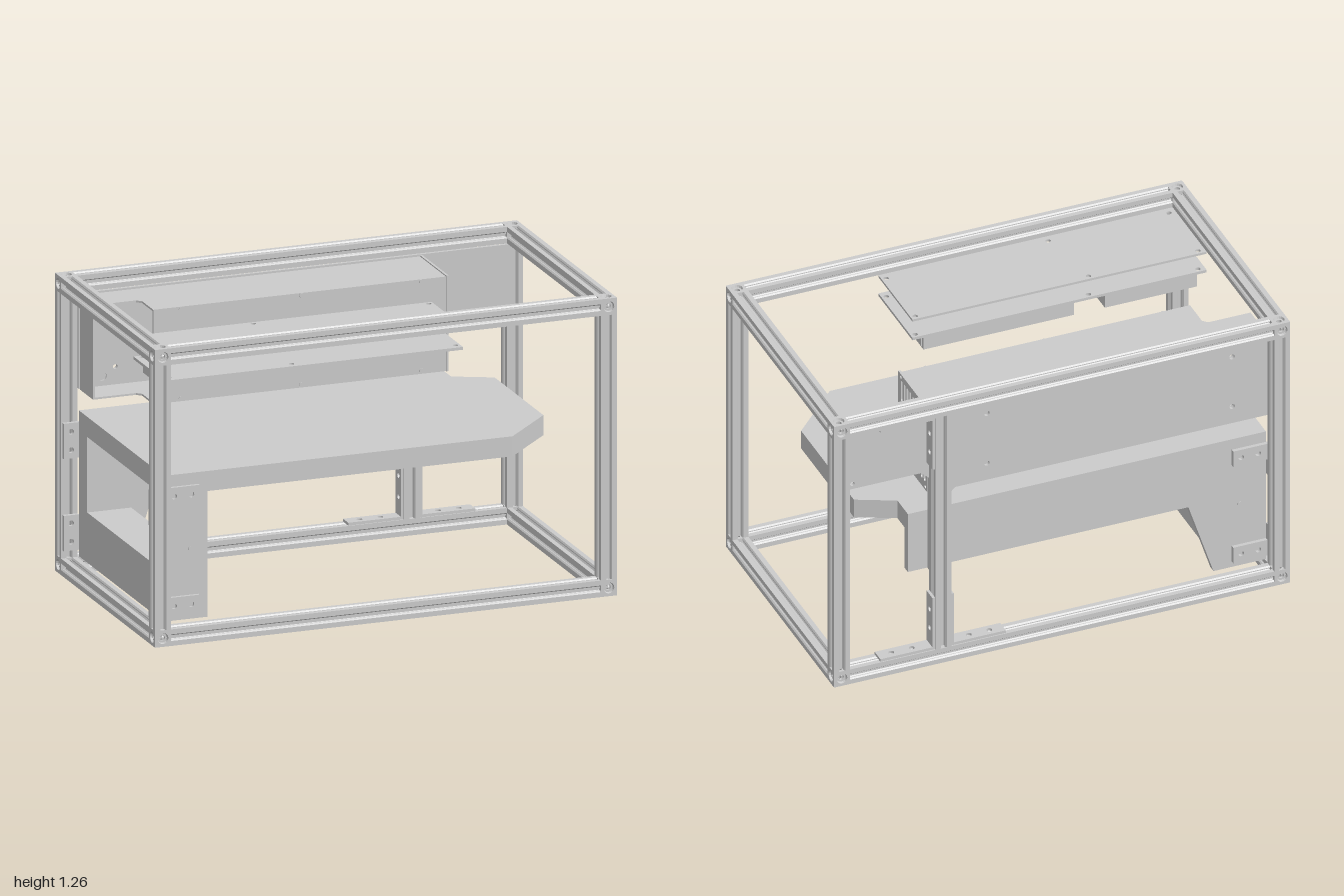
import * as THREE from 'three';

const grey = new THREE.MeshStandardMaterial({ color: 0xcccccc, side: THREE.DoubleSide, flatShading: true });
const B = 0.07;                                  // bar thickness
const HX = 1, H = 1.26, HZ = 0.565;              // outer frame extents

function mesh(geometry, name, parent) {
  const m = new THREE.Mesh(geometry, grey);
  m.name = name;
  parent.add(m);
  return m;
}

const rect = (x0, y0, x1, y1) => [[x0, y0], [x1, y0], [x1, y1], [x0, y1]];

function circle(x, y, r) {
  const p = new THREE.Path();
  p.absarc(x, y, r, 0, Math.PI * 2, true);
  return p;
}

// Vertical slot with round ends
function slot(x, y0, y1, w) {
  const r = w / 2, p = new THREE.Path();
  p.absarc(x, y1 - r, r, 0, Math.PI, false);
  p.absarc(x, y0 + r, r, Math.PI, Math.PI * 2, false);
  p.closePath();
  return p;
}

function sheet(points, holes, depth) {
  const s = new THREE.Shape(points.map(p => new THREE.Vector2(p[0], p[1])));
  s.holes.push(...holes);
  return new THREE.ExtrudeGeometry(s, { depth, bevelEnabled: false, curveSegments: 8 });
}

// Sheets drawn in xy, xz and zy; each fills the stated range of the third axis
const sheetXY = (pts, holes, z0, z1) => sheet(pts, holes, z1 - z0).translate(0, 0, z0);
const sheetXZ = (pts, holes, y0, y1) => sheet(pts, holes, y1 - y0).rotateX(Math.PI / 2).translate(0, y1, 0);
const sheetZY = (pts, holes, x0, x1) => sheet(pts, holes, x1 - x0).rotateY(-Math.PI / 2).translate(x1, 0, 0);

// Slotted bar profile: one side is turned four times
function barGeometry(length) {
  const h = B / 2;
  const side = [[-h, h], [-0.014, h], [-0.009, h - 0.006], [-0.009, h - 0.01], [-0.017, h - 0.01], [-0.009, h - 0.02],
    [0.009, h - 0.02], [0.017, h - 0.01], [0.009, h - 0.01], [0.009, h - 0.006], [0.014, h]];
  const pts = [];
  for (let k = 0; k < 4; k++) {
    const c = Math.round(Math.cos(k * Math.PI / 2)), s = Math.round(Math.sin(k * Math.PI / 2));
    for (const [x, y] of side) pts.push([x * c + y * s, -x * s + y * c]);
  }
  return sheet(pts, [circle(0, 0, 0.0115)], length).translate(0, 0, -length / 2);
}

// Corner cube with a counterbored hole on every face
function cornerCube(parent, x, y, z) {
  const g = new THREE.Group();
  g.name = 'cornerCube';
  g.position.set(x, y, z);
  const h = B / 2;
  const s = new THREE.Shape(rect(-h, -h, h, h).map(p => new THREE.Vector2(...p)));
  s.holes.push(circle(0, 0, 0.023));
  const face = new THREE.ShapeGeometry(s, 8);
  const bore = new THREE.LatheGeometry([[0.023, 0], [0.02, -0.01], [0.0115, -0.01], [0.0115, -0.022]]
    .map(p => new THREE.Vector2(...p)), 16).rotateX(Math.PI / 2);
  const turns = [[0, 0], [0, Math.PI / 2], [0, Math.PI], [0, -Math.PI / 2], [Math.PI / 2, 0], [-Math.PI / 2, 0]];
  for (const [rx, ry] of turns) {
    const f = new THREE.Group();
    f.name = 'cubeFace';
    f.rotation.set(rx, ry, 0);
    mesh(face, 'facePlate', f).position.z = h;
    mesh(bore, 'screwBore', f).position.z = h;
    g.add(f);
  }
  parent.add(g);
}

function buildFrame(root) {
  const frame = new THREE.Group();
  frame.name = 'frame';
  const h = B / 2, X = HX - h, Z = HZ - h, ys = [h, H - h];
  const barX = barGeometry(2 * HX - 2 * B).rotateY(Math.PI / 2);
  const barY = barGeometry(H - 2 * B).rotateX(Math.PI / 2);
  const barZ = barGeometry(2 * HZ - 2 * B);
  for (const s of [-1, 1]) {
    for (const y of ys) {
      mesh(barX, 'longBar', frame).position.set(0, y, s * Z);
      mesh(barZ, 'crossBar', frame).position.set(s * X, y, 0);
    }
    for (const t of [-1, 1]) {
      mesh(barY, 'uprightBar', frame).position.set(s * X, H / 2, t * Z);
      for (const y of ys) cornerCube(frame, s * X, y, t * Z);
    }
  }
  // Extra upright at the back with an angle bracket at each of its four inside corners
  mesh(barY, 'backPost', frame).position.set(0.52, H / 2, -Z);
  const t = 0.012, hz = 0.03;
  const foot = sheetXZ(rect(0, -hz, 0.24, hz), [circle(0.09, 0, 0.012), circle(0.18, 0, 0.012)], 0, t);
  const wall = sheetZY(rect(-hz, 0, hz, 0.25), [circle(0, 0.09, 0.012), circle(0, 0.18, 0.012)], 0, t);
  for (const sx of [-1, 1]) for (const sy of [-1, 1]) {
    const b = new THREE.Group();
    b.name = 'angleBracket';
    mesh(foot, 'bracketFoot', b);
    mesh(wall, 'bracketWall', b);
    b.scale.set(sx, sy, 1);
    b.position.set(0.52 + sx * h, sy > 0 ? B : H - B, -Z);
    frame.add(b);
  }
  root.add(frame);
}

function buildTable(root) {
  const table = new THREE.Group();
  table.name = 'table';
  mesh(sheetXZ([[-0.93, -0.478], [0.64, -0.478], [0.64, -0.37], [0.8, -0.295], [0.8, 0.255], [0.58, 0.48], [-0.93, 0.48]],
    [], 0.61, 0.695), 'tableTop', table);
  // Thick end support with a window
  const win = new THREE.Path(rect(-0.383, 0.29, 0.4, 0.6095).map(p => new THREE.Vector2(...p)));
  mesh(sheetZY(rect(-0.446, 0.078, 0.48, 0.61), [win], -0.93, -0.74), 'endSupport', table);
  mesh(sheetXY([[-0.93, 0.078], [-0.7, 0.078], [-0.59, 0.415], [0.64, 0.415], [0.64, 0.61], [-0.93, 0.61]],
    [], -0.478, -0.445), 'backApron', table);
  // Flat corner plates joining the supports to the frame uprights
  for (const s of [-1, 1]) {
    for (const [y0, y1, far] of [[0.57, 0.645, 0.495], [0.105, 0.18, 0.255]]) {
      const ym = (y0 + y1) / 2;
      const up = far > y1;
      const pts = up
        ? [[-0.995, y0], [-0.78, y0], [-0.78, y1], [-0.93, y1], [-0.93, far], [-0.995, far]]
        : [[-0.995, far], [-0.93, far], [-0.93, y0], [-0.78, y0], [-0.78, y1], [-0.995, y1]];
      const holes = [[-0.89, ym], [-0.815, ym], [-0.963, ym], [-0.963, up ? far - 0.035 : far + 0.035]]
        .map(p => circle(p[0], p[1], 0.012));
      mesh(sheetXY(pts, holes, s > 0 ? 0.48 : -0.494, s > 0 ? 0.494 : -0.478), 'cornerPlate', table);
    }
    const screw = mesh(new THREE.CylinderGeometry(0.01, 0.01, 0.006, 12).rotateX(Math.PI / 2), 'supportScrew', table);
    screw.position.set(-0.815, 0.375, s * 0.48);
  }
  root.add(table);
}

function buildBackPanel(root) {
  const pts = [[-0.93, 0.785], [0.44, 0.785], [0.485, 0.74], [0.485, 0.415], [0.555, 0.415], [0.555, 0.86], [0.59, 0.89],
    [0.93, 0.89], [0.93, 1.19], [-0.93, 1.19]];
  const holes = [];
  for (const x of [-0.775, 0.3]) for (const y of [0.865, 1.105]) holes.push(circle(x, y, 0.012));
  holes.push(circle(0.52, 0.735, 0.01), circle(0.89, 0.915, 0.01));
  mesh(sheetXY(pts, holes, -0.494, -0.48), 'backPanel', root);
}

function buildHood(root) {
  const hood = new THREE.Group();
  hood.name = 'ventedHood';
  const y0 = 0.782, y1 = 1.182, zf = -0.185, zb = -0.479, t = 0.008;
  const outline = [[-0.925, zb], [0.555, zb], [0.555, zf], [-0.72, zf], [-0.72, -0.31], [-0.74, -0.33], [-0.925, -0.33]];
  mesh(sheetXZ(outline, [], y1 - t, y1), 'hoodTop', hood);
  mesh(sheetXZ(outline, [], y0, y0 + t), 'hoodBottom', hood);
  mesh(sheetXY(rect(-0.72, y0, 0.555, y1), [], zf - t, zf), 'hoodFront', hood);
  mesh(sheetXY(rect(-0.925, y0, 0.555, y1),
    [circle(-0.83, 1.14, 0.018), circle(-0.83, 0.83, 0.018), circle(-0.775, 1.105, 0.01), circle(-0.775, 0.865, 0.01)],
    zb, zb + t), 'hoodBack', hood);
  mesh(sheetZY(rect(zb, y0, -0.33, y1), [], -0.925, -0.925 + t), 'hoodEnd', hood);
  // Grille: slots, a rounded opening and four corner holes
  const holes = [];
  for (let i = 0; i < 9; i++) {
    const z = -0.217 - i * 0.0297;
    const rows = i < 3 ? [[0.81, 0.91], [1.06, 1.16]]
      : i === 3 ? [[0.81, 0.91], [0.915, 0.97], [1.005, 1.055], [1.06, 1.16]]
        : [[0.82, 0.885], [0.9, 0.97], [0.985, 1.06], [1.075, 1.155]];
    for (const [a, b] of rows) holes.push(slot(z, a, b, 0.017));
  }
  const opening = new THREE.Path();
  opening.moveTo(-0.19, 0.942);
  opening.lineTo(-0.19, 1.032);
  opening.lineTo(-0.238, 1.032);
  opening.absarc(-0.238, 0.987, 0.045, Math.PI / 2, Math.PI * 1.5, false);
  opening.closePath();
  holes.push(opening);
  for (const z of [-0.208, -0.462]) for (const y of [0.797, 1.173]) holes.push(circle(z, y, 0.008));
  mesh(sheetZY(rect(zb, y0, -0.18, 1.187), holes, 0.547, 0.557), 'ventGrille', hood);
  for (const x of [-0.6, -0.08, 0.44]) for (const y of [0.795, 1.172]) {
    mesh(new THREE.CylinderGeometry(0.01, 0.01, 0.008, 12).rotateX(Math.PI / 2), 'hoodScrew', hood).position.set(x, y, zf);
  }
  root.add(hood);
}

function buildShelf(root) {
  const shelf = new THREE.Group();
  shelf.name = 'hangingShelf';
  const holes = [[-0.9, 0.16], [-0.42, 0.16], [0.34, 0.16], [-0.9, 0.462], [-0.37, 0.462], [0.34, 0.462]];
  const make = () => holes.map(p => circle(p[0], p[1], 0.011));
  mesh(sheetXZ(rect(-0.93, 0.14, 0.36, 0.495), make(), 1.18, 1.19), 'upperPlate', shelf);
  mesh(sheetXZ(rect(-0.93, 0.14, 0.36, 0.495), make(), 1.09, 1.102), 'lowerPlate', shelf);
  for (const [x0, x1] of [[-0.89, -0.485], [-0.35, 0.31]]) {
    mesh(new THREE.BoxGeometry(x1 - x0, 0.06, 0.107), 'hangingBlock', shelf).position.set((x0 + x1) / 2, 1.06, 0.1975);
  }
  mesh(new THREE.BoxGeometry(0.01, 0.047, 0.037), 'blockSocket', shelf).position.set(0.31, 1.063, 0.178);
  root.add(shelf);
}

export function createModel() {
  const root = new THREE.Group();
  root.name = 'framedWorkstation';
  buildFrame(root);
  buildTable(root);
  buildBackPanel(root);
  buildHood(root);
  buildShelf(root);
  return root;
}
